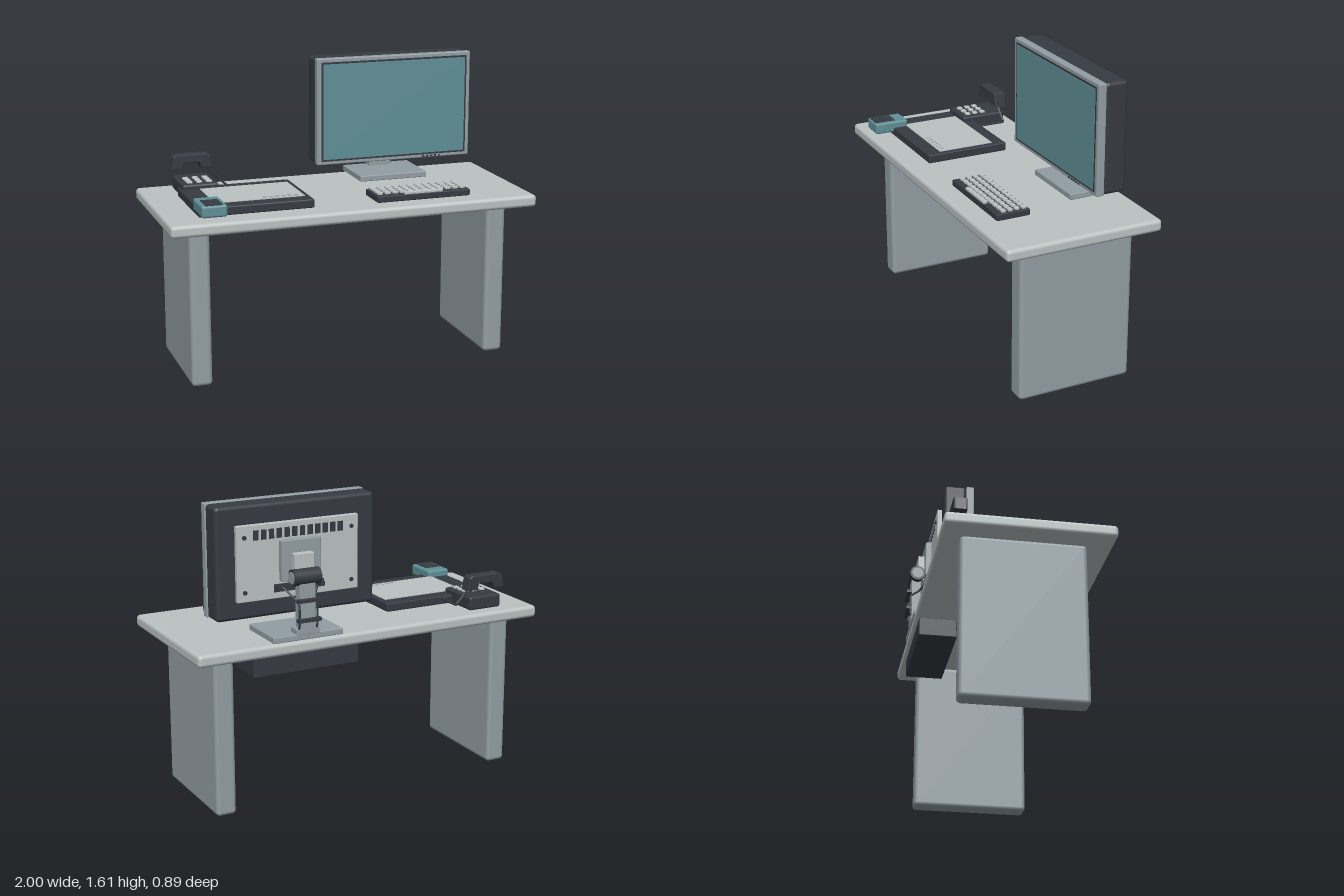
import * as THREE from 'three';
import { RoundedBoxGeometry } from 'three/addons/geometries/RoundedBoxGeometry.js';

const mat = (name, color) => Object.assign(new THREE.MeshStandardMaterial({ color }), { name });

export function createModel() {
  const model = new THREE.Group();
  model.name = 'officeDesk';
  const light = mat('light grey', 0xbcc2c2);
  const steel = mat('blue grey', 0x929ea4);
  const dark = mat('charcoal', 0x363a42);
  const teal = mat('teal', 0x5f9097);

  const group = (name) => {
    const g = new THREE.Group();
    g.name = name;
    model.add(g);
    return g;
  };
  const add = (parent, name, geometry, material) => {
    const m = new THREE.Mesh(geometry, material);
    m.name = name;
    parent.add(m);
    return m;
  };
  // Box given by its extents on each axis; r rounds the edges
  const box = (parent, name, material, [x0, x1], [y0, y1], [z0, z1], r = 0) => {
    const s = [x1 - x0, y1 - y0, z1 - z0];
    const geo = r ? new RoundedBoxGeometry(...s, 3, r) : new THREE.BoxGeometry(...s);
    const m = add(parent, name, geo, material);
    m.position.set((x0 + x1) / 2, (y0 + y1) / 2, (z0 + z1) / 2);
    return m;
  };
  const cable = (parent, name, points, r) => {
    const path = new THREE.CurvePath();
    const p = points.map((q) => new THREE.Vector3(...q));
    for (let i = 1; i < p.length; i++) path.add(new THREE.LineCurve3(p[i - 1], p[i]));
    return add(parent, name, new THREE.TubeGeometry(path, 36, r, 6), dark);
  };

  // Desk
  const desk = group('desk');
  box(desk, 'tableTop', light, [-1, 1], [0.845, 0.91], [-0.418, 0.445], 0.02);
  for (const s of [-1, 1]) {
    box(desk, 'sideLeg', steel, [s * 0.825 - 0.055, s * 0.825 + 0.055], [0, 0.85], [-0.323, 0.313], 0.022);
  }
  box(desk, 'underDrawer', dark, [0.1, 0.695], [0.745, 0.848], [-0.4, -0.19], 0.006);

  // Monitor
  const monitor = group('monitor');
  box(monitor, 'frontFrame', steel, [-0.05, 0.845], [1.025, 1.61], [-0.168, -0.124], 0.006);
  box(monitor, 'rearHousing', dark, [-0.048, 0.843], [1.025, 1.609], [-0.29, -0.166], 0.02);
  box(monitor, 'screenSurround', dark, [-0.026, 0.823], [1.044, 1.59], [-0.127, -0.122]);
  box(monitor, 'screen', teal, [-0.016, 0.813], [1.054, 1.58], [-0.126, -0.12]);
  for (let i = 0; i < 5; i++) {
    const x = 0.565 + i * 0.024;
    box(monitor, 'button', dark, [x, x + 0.012], [1.031, 1.039], [-0.126, -0.118]);
  }
  box(monitor, 'backPlate', light, [0.06, 0.74], [1.12, 1.51], [-0.315, -0.286], 0.004);
  for (let i = 0; i < 12; i++) {
    const x = 0.4 + (i - 5.5) * 0.043;
    box(monitor, 'ventSlot', dark, [x - 0.014, x + 0.014], [1.432, 1.482], [-0.319, -0.313]);
  }
  for (const x of [0.1, 0.7]) for (const y of [1.17, 1.45]) {
    const screw = add(monitor, 'screw', new THREE.CylinderGeometry(0.011, 0.011, 0.01, 12), dark);
    screw.rotation.x = Math.PI / 2;
    screw.position.set(x, y, -0.317);
  }
  box(monitor, 'socketPanel', dark, [0.26, 0.54], [1.155, 1.195], [-0.323, -0.312]);
  for (const x of [0.28, 0.32, 0.48, 0.52]) {
    box(monitor, 'plug', dark, [x - 0.013, x + 0.013], [1.163, 1.187], [-0.345, -0.32]);
  }

  // Monitor stand
  const stand = group('monitorStand');
  box(stand, 'base', steel, [0.2, 0.592], [0.915, 0.947], [-0.417, -0.12], 0.005);
  box(stand, 'mountPlate', steel, [0.29, 0.51], [1.21, 1.42], [-0.348, -0.313], 0.004);
  box(stand, 'mountBlock', light, [0.345, 0.455], [1.2, 1.355], [-0.383, -0.345], 0.004);
  box(stand, 'column', steel, [0.355, 0.445], [0.94, 1.24], [-0.418, -0.362], 0.006);
  box(stand, 'columnFoot', steel, [0.335, 0.465], [0.94, 0.975], [-0.418, -0.35], 0.005);
  const hinge = add(stand, 'hinge', new THREE.CylinderGeometry(0.043, 0.043, 0.15, 28), dark);
  hinge.rotation.z = Math.PI / 2;
  hinge.position.set(0.4, 1.236, -0.387);
  for (const s of [-1, 1]) {
    const cap = add(stand, 'hingeCap', new THREE.CylinderGeometry(0.032, 0.032, 0.006, 24), steel);
    cap.rotation.z = Math.PI / 2;
    cap.position.set(0.4 + s * 0.076, 1.236, -0.387);
    cable(stand, 'cable', [[0.4 + s * 0.1, 1.18, -0.33], [0.4 + s * 0.06, 1.13, -0.375],
      [0.4 + s * 0.05, 1.1, -0.422], [0.4 + s * 0.05, 0.99, -0.422], [0.4 + s * 0.05, 0.95, -0.4]], 0.006);
  }
  for (const y of [1.02, 1.122]) {
    box(stand, 'cableClip', dark, [0.335, 0.465], [y - 0.008, y + 0.008], [-0.445, -0.416]);
  }

  // Keyboard
  const keyboard = group('keyboard');
  box(keyboard, 'keyboardBody', dark, [0.132, 0.658], [0.91, 0.945], [0.147, 0.332], 0.005);
  const key = (x0, x1, z) => box(keyboard, 'key', light, [x0, x1], [0.943, 0.957], [z - 0.012, z + 0.012], 0.003);
  for (let r = 0; r < 4; r++) for (let c = 0; c < 12; c++) {
    const x = 0.16 + c * 0.0427;
    key(x - 0.015, x + 0.015, 0.172 + r * 0.038);
  }
  key(0.285, 0.503, 0.318);

  // Drawing pad
  const pad = group('drawingPad');
  box(pad, 'padBody', dark, [-0.826, -0.21], [0.91, 0.957], [-0.153, 0.313], 0.007);
  box(pad, 'padSurface', light, [-0.722, -0.238], [0.955, 0.961], [-0.08, 0.236]);
  for (let r = 0; r < 2; r++) for (let i = 0; i < 6; i++) {
    const x = -0.46 + i * 0.034;
    box(pad, 'padMark', steel, [x, x + 0.02], [0.96, 0.963], [0.2 + r * 0.018, 0.204 + r * 0.018]);
  }

  // Small teal device on the corner of the pad
  const device = group('deskGadget');
  box(device, 'gadgetBody', teal, [-0.835, -0.702], [0.932, 0.994], [0.227, 0.42], 0.012);
  box(device, 'gadgetPanel', dark, [-0.815, -0.725], [0.99, 0.997], [0.297, 0.412]);

  // Telephone
  const phone = group('telephone');
  box(phone, 'phoneBody', dark, [-0.812, -0.615], [0.91, 0.984], [-0.342, -0.085], 0.012);
  for (let r = 0; r < 3; r++) for (let c = 0; c < 3; c++) {
    const x = -0.766 + c * 0.053, z = -0.222 + r * 0.046;
    box(phone, 'phoneKey', light, [x - 0.015, x + 0.015], [0.98, 0.994], [z - 0.014, z + 0.014], 0.004);
  }
  // Handset: a bar with two drooping ends
  const outline = new THREE.Shape([[-0.112, 0.026], [-0.1, 0.09], [-0.085, 0.098], [0.085, 0.098], [0.1, 0.09],
    [0.112, 0.026], [0.055, 0.026], [0.045, 0.06], [-0.045, 0.06], [-0.055, 0.026]]
    .reverse().map(([x, y]) => new THREE.Vector2(x, y)));
  const handset = add(phone, 'handset', new THREE.ExtrudeGeometry(outline,
    { depth: 0.056, bevelThickness: 0.006, bevelSize: 0.004, bevelSegments: 1 }), dark);
  handset.position.set(-0.713, 1, -0.342);
  cable(phone, 'handsetCord', [[-0.625, 1.03, -0.307], [-0.6, 0.995, -0.307], [-0.55, 0.945, -0.307],
    [-0.55, 0.945, -0.157], [-0.63, 0.945, -0.157]], 0.007);

  return model;
}
